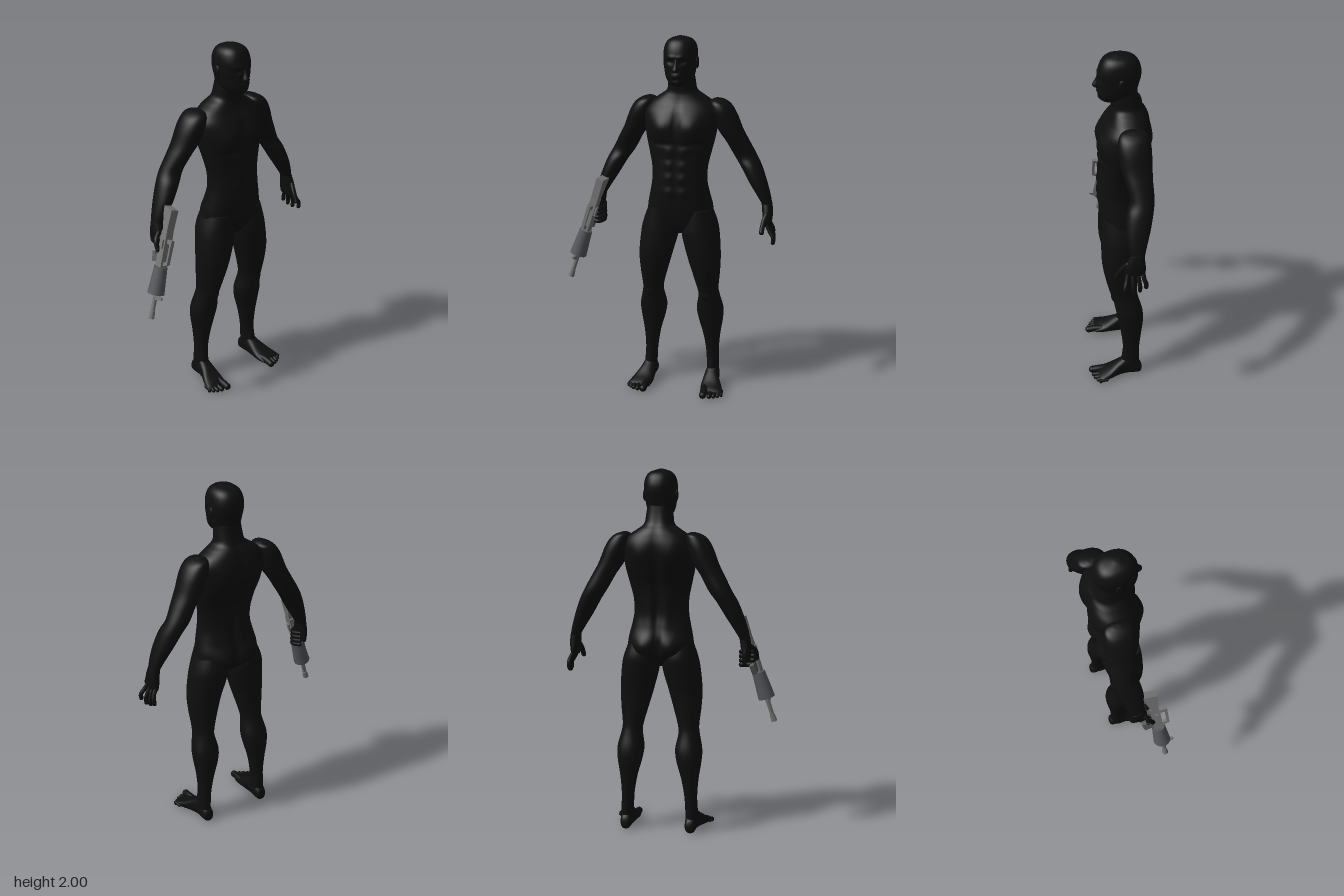
import * as THREE from 'three';

const CX = 0.045; // body midline
const mat = (name, color) => Object.assign(new THREE.MeshStandardMaterial({ color }), { name });

// Smooth loft. Each key is [t, uMin, uMax, vMin, vMax]; rings lie across t.
// side -1 mirrors left to right; alongZ runs the loft forwards instead of upwards.
function loft(keys, { side = 1, alongZ = false, bumps = [], power = 0.88, sides = 40, steps = 6 } = {}) {
  const pos = [], idx = [], n = (keys.length - 1) * steps;
  const cubic = (a, b, c, d, f) => b + 0.5 * f * (c - a + f * (2 * a - 5 * b + 4 * c - d + f * (3 * (b - c) + d - a)));
  const put = (u, t, v) => alongZ ? pos.push(CX + side * u, v, t) : pos.push(CX + side * u, t, v);
  const row = j => {
    const k = Math.min(Math.floor(j / steps), keys.length - 2), f = j / steps - k;
    const at = i => keys[Math.max(0, Math.min(keys.length - 1, i))];
    return at(k).map((_, c) => cubic(at(k - 1)[c], at(k)[c], at(k + 1)[c], at(k + 2)[c], f));
  };
  const soft = w => Math.sign(w) * Math.abs(w) ** power;
  for (let j = 0; j <= n; j++) {
    const [t, u0, u1, v0, v1] = row(j);
    for (let i = 0; i < sides; i++) {
      const a = i / sides * Math.PI * 2, s = Math.sin(a);
      const u = (u0 + u1) / 2 + (u1 - u0) / 2 * soft(Math.cos(a));
      let v = (v0 + v1) / 2 + (v1 - v0) / 2 * soft(s);
      // muscle bumps: [facing, u, t, width, height, amount], on both sides of the midline
      for (const [face, bu, bt, w, h, amt] of bumps)
        if (face * s > 0) v += s * amt * Math.exp(-(((Math.abs(u) - bu) / w) ** 2) - ((t - bt) / h) ** 2);
      put(u, t, v);
    }
  }
  const flip = side * (alongZ ? -1 : 1) < 0;
  const tri = (a, b, c) => flip ? idx.push(a, c, b) : idx.push(a, b, c);
  for (let j = 0; j < n; j++) for (let i = 0; i < sides; i++) {
    const a = j * sides + i, b = j * sides + (i + 1) % sides;
    tri(a, a + sides, b);
    tri(b, a + sides, b + sides);
  }
  [0, n].forEach((j, end) => {
    const [t, u0, u1, v0, v1] = row(j), c = pos.length / 3;
    put((u0 + u1) / 2, t, (v0 + v1) / 2);
    for (let i = 0; i < sides; i++) {
      const a = j * sides + i, b = j * sides + (i + 1) % sides;
      end ? tri(c, b, a) : tri(c, a, b);
    }
  });
  const g = new THREE.BufferGeometry();
  g.setAttribute('position', new THREE.Float32BufferAttribute(pos, 3));
  g.setIndex(idx);
  g.computeVertexNormals();
  return g;
}

export function createModel() {
  const model = new THREE.Group();
  const skin = mat('black skin', 0x0e0e0e);
  const metal = mat('grey metal', 0x747474), dark = mat('dark grey metal', 0x55585c);
  const add = (name, geo, m = skin, parent = model) => {
    const mesh = new THREE.Mesh(geo, m);
    mesh.name = name;
    parent.add(mesh);
    return mesh;
  };
  const ball = (name, x, y, z, rx, ry, rz) => {
    const b = add(name, new THREE.SphereGeometry(1, 20, 14));
    b.position.set(x, y, z);
    b.scale.set(rx, ry, rz);
    return b;
  };
  // round-ended finger or toe through a few points
  const digit = (name, pts, r) => {
    const v = pts.map(p => new THREE.Vector3(...p));
    add(name, new THREE.TubeGeometry(new THREE.CatmullRomCurve3(v), 12, r, 10));
    [v[0], v[v.length - 1]].forEach(p => ball(name + 'End', p.x, p.y, p.z, r, r, r));
  };

  // torso with neck, chest, stomach and back muscles
  const torso = [
    [0.93, 0.04, -0.05, 0.05], [0.97, 0.13, -0.10, 0.075], [1.02, 0.18, -0.13, 0.09], [1.08, 0.18, -0.135, 0.10],
    [1.15, 0.165, -0.115, 0.105], [1.22, 0.152, -0.10, 0.105], [1.30, 0.153, -0.105, 0.10], [1.38, 0.17, -0.12, 0.095],
    [1.46, 0.188, -0.15, 0.10], [1.54, 0.20, -0.168, 0.095], [1.60, 0.20, -0.17, 0.075], [1.645, 0.17, -0.16, 0.045],
    [1.68, 0.12, -0.145, 0.03], [1.71, 0.082, -0.125, 0.025], [1.76, 0.073, -0.11, 0.03], [1.82, 0.065, -0.10, 0.03],
  ].map(([y, w, b, f]) => [y, -w, w, b, f]);
  const torsoBumps = [
    [1, 0.09, 1.52, 0.065, 0.06, 0.022], [1, 0, 1.54, 0.014, 0.09, -0.012], [1, 0.1, 1.435, 0.08, 0.015, -0.01],
    [1, 0, 1.25, 0.01, 0.16, -0.007], [-1, 0, 1.35, 0.022, 0.28, -0.016], [-1, 0.1, 1.54, 0.06, 0.08, 0.016],
    [-1, 0.085, 1.04, 0.06, 0.06, 0.024], [-1, 0, 1.03, 0.012, 0.07, -0.025], [-1, 0.05, 1.24, 0.03, 0.1, 0.008],
    ...[1.17, 1.25, 1.32, 1.39].map(y => [1, 0.04, y, 0.028, 0.028, 0.009]),
  ];
  add('torso', loft(torso, { bumps: torsoBumps, sides: 80, steps: 8 }));

  // head
  const head = [
    [1.742, 0.03, 0.0, 0.075], [1.76, 0.055, -0.06, 0.092], [1.79, 0.074, -0.095, 0.097], [1.84, 0.084, -0.11, 0.099],
    [1.88, 0.088, -0.12, 0.099], [1.92, 0.088, -0.12, 0.096], [1.96, 0.078, -0.105, 0.08], [1.985, 0.055, -0.075, 0.055],
    [2.0, 0.012, -0.015, 0.01],
  ].map(([y, w, b, f]) => [y, -w, w, b, f]);
  add('head', loft(head, {
    sides: 60, steps: 8,
    bumps: [[1, 0.036, 1.873, 0.018, 0.014, -0.012], [1, 0.025, 1.897, 0.03, 0.01, 0.006], [1, 0, 1.80, 0.025, 0.013, 0.008],
      [1, 0, 1.765, 0.025, 0.01, 0.005], [1, 0.06, 1.82, 0.02, 0.03, -0.006]],
  }));
  add('nose', loft([[1.82, -0.016, 0.016, 0.08, 0.116], [1.832, -0.018, 0.018, 0.08, 0.126],
    [1.86, -0.01, 0.01, 0.08, 0.112], [1.89, -0.008, 0.008, 0.07, 0.1]], { sides: 16 }));

  for (const s of [1, -1]) {
    const tag = s > 0 ? 'left' : 'right', X = u => CX + s * u;
    ball(tag + 'Ear', X(0.088), 1.862, -0.02, 0.009, 0.032, 0.02);

    // arm from shoulder to wrist
    add(tag + 'Arm', loft([
      [1.09, 0.452, 0.503, -0.1, -0.03], [1.15, 0.415, 0.49, -0.115, -0.018], [1.22, 0.37, 0.468, -0.135, -0.01],
      [1.30, 0.322, 0.437, -0.152, -0.018], [1.36, 0.28, 0.405, -0.16, -0.036], [1.44, 0.235, 0.362, -0.156, -0.015],
      [1.50, 0.195, 0.33, -0.156, 0.002], [1.58, 0.16, 0.298, -0.155, 0.015], [1.63, 0.15, 0.268, -0.145, 0.01],
      [1.655, 0.155, 0.235, -0.13, -0.01], [1.667, 0.175, 0.2, -0.09, -0.05],
    ], { side: s, power: 0.95 }));

    // leg from hip to ankle
    add(tag + 'Leg', loft([
      [0.03, 0.152, 0.222, -0.115, 0.0], [0.12, 0.15, 0.218, -0.115, -0.012], [0.20, 0.145, 0.215, -0.115, -0.02],
      [0.30, 0.128, 0.222, -0.125, -0.01], [0.40, 0.1, 0.237, -0.135, 0.006], [0.47, 0.09, 0.24, -0.13, 0.02],
      [0.55, 0.104, 0.222, -0.108, 0.036], [0.60, 0.1, 0.216, -0.1, 0.052], [0.70, 0.072, 0.226, -0.1, 0.077],
      [0.80, 0.043, 0.23, -0.105, 0.094], [0.92, 0.012, 0.22, -0.125, 0.096], [0.99, 0.02, 0.205, -0.13, 0.092],
      [1.07, 0.05, 0.175, -0.11, 0.085],
    ], { side: s, power: 0.93 }));
    ball(tag + 'Kneecap', X(0.16), 0.58, 0.028, 0.035, 0.045, 0.02);

    // foot and toes
    add(tag + 'Foot', loft([
      [-0.13, 0.172, 0.195, 0.02, 0.045], [-0.115, 0.155, 0.214, 0.002, 0.08], [-0.05, 0.15, 0.222, 0, 0.125],
      [0.0, 0.145, 0.235, 0, 0.1], [0.06, 0.142, 0.262, 0, 0.06], [0.105, 0.148, 0.274, 0, 0.04], [0.125, 0.155, 0.262, 0.008, 0.028],
    ], { side: s, alongZ: true }));
    [[0.174, 0.16, 0.02], [0.209, 0.153, 0.013], [0.233, 0.144, 0.012], [0.253, 0.131, 0.011], [0.27, 0.115, 0.01]]
      .forEach(([u, z, r]) => digit(tag + 'Toe', [[X(u - 0.004), r + 0.008, 0.08], [X(u), r + 0.006, 0.12], [X(u), r, z]], r));

    // palm
    add(tag + 'Palm', loft([
      [0.985, 0.462, 0.5, -0.105, -0.004], [1.02, 0.455, 0.505, -0.108, 0.0], [1.06, 0.45, 0.507, -0.104, -0.012],
      [1.11, 0.443, 0.5, -0.1, -0.03],
    ], { side: s }));
  }

  // open left hand
  [[-0.092, -0.108, 0.915], [-0.066, -0.076, 0.9], [-0.04, -0.042, 0.893], [-0.016, 0.002, 0.9]].forEach(([z0, z1, y], i) =>
    digit('leftFinger', [[0.525, 1.0, z0], [0.546, 0.96, (z0 + z1) / 2], [0.55 + i * 0.006, y + 0.025, z1], [0.548 + i * 0.006, y, z1]], 0.0115));
  digit('leftThumb', [[0.523, 1.05, -0.015], [0.512, 1.01, 0.015], [0.508, 0.965, 0.04]], 0.0135);
  // right hand closed on the grip
  for (let i = 0; i < 4; i++) {
    const y = 1.035 - i * 0.024;
    digit('rightFinger', [[-0.415, y, -0.08], [-0.405, y - 0.012, -0.03], [-0.43, y - 0.016, 0.0], [-0.468, y - 0.01, -0.012]], 0.0125);
  }
  digit('rightThumb', [[-0.445, 1.06, -0.03], [-0.478, 1.03, -0.01], [-0.482, 0.985, 0.01]], 0.0135);

  // rifle: local x runs to the muzzle, local y is its top
  const rifle = new THREE.Group();
  rifle.name = 'rifle';
  const fwd = new THREE.Vector3(-0.19, -0.585, 0.04).normalize();
  const sideways = fwd.clone().cross(new THREE.Vector3(-0.15, 0, 1)).normalize();
  rifle.applyMatrix4(new THREE.Matrix4().makeBasis(fwd, sideways.clone().cross(fwd), sideways));
  rifle.position.set(-0.39, 1.21, 0.02);
  model.add(rifle);
  const plate = (name, pts, depth, m) => {
    const shape = new THREE.Shape(pts.map(p => new THREE.Vector2(...p)));
    add(name, new THREE.ExtrudeGeometry(shape, { depth, bevelEnabled: false }).translate(0, 0, -depth / 2), m, rifle);
  };
  const rod = (name, x0, x1, r0, r1, y, m) => add(name,
    new THREE.CylinderGeometry(r1, r0, x1 - x0, 16).rotateZ(-Math.PI / 2).translate((x0 + x1) / 2, y, 0), m, rifle);
  plate('stock', [[0, -0.045], [0.01, 0.035], [0.14, 0.025], [0.14, -0.012]], 0.042, metal);
  plate('receiver', [[0.13, -0.022], [0.13, 0.028], [0.33, 0.028], [0.33, -0.025]], 0.042, metal);
  plate('grip', [[0.17, -0.02], [0.205, -0.02], [0.19, -0.085], [0.16, -0.08]], 0.026, dark);
  plate('magazine', [[0.25, -0.02], [0.305, -0.02], [0.318, -0.075], [0.265, -0.085]], 0.026, dark);
  plate('carryHandle', [[0.17, 0.025], [0.165, 0.07], [0.3, 0.065], [0.315, 0.025], [0.295, 0.025], [0.285, 0.052], [0.19, 0.054], [0.19, 0.025]], 0.018, metal);
  add('sideKnob', new THREE.BoxGeometry(0.05, 0.02, 0.06).translate(0.2, 0.008, 0), metal, rifle);
  rod('handguard', 0.325, 0.475, 0.036, 0.047, 0, dark);
  rod('barrel', 0.47, 0.61, 0.013, 0.011, 0, metal);
  rod('muzzle', 0.575, 0.616, 0.014, 0.017, 0, metal);
  plate('frontSight', [[0.47, 0.008], [0.483, 0.065], [0.493, 0.065], [0.51, 0.008]], 0.012, metal);
  return model;
}
